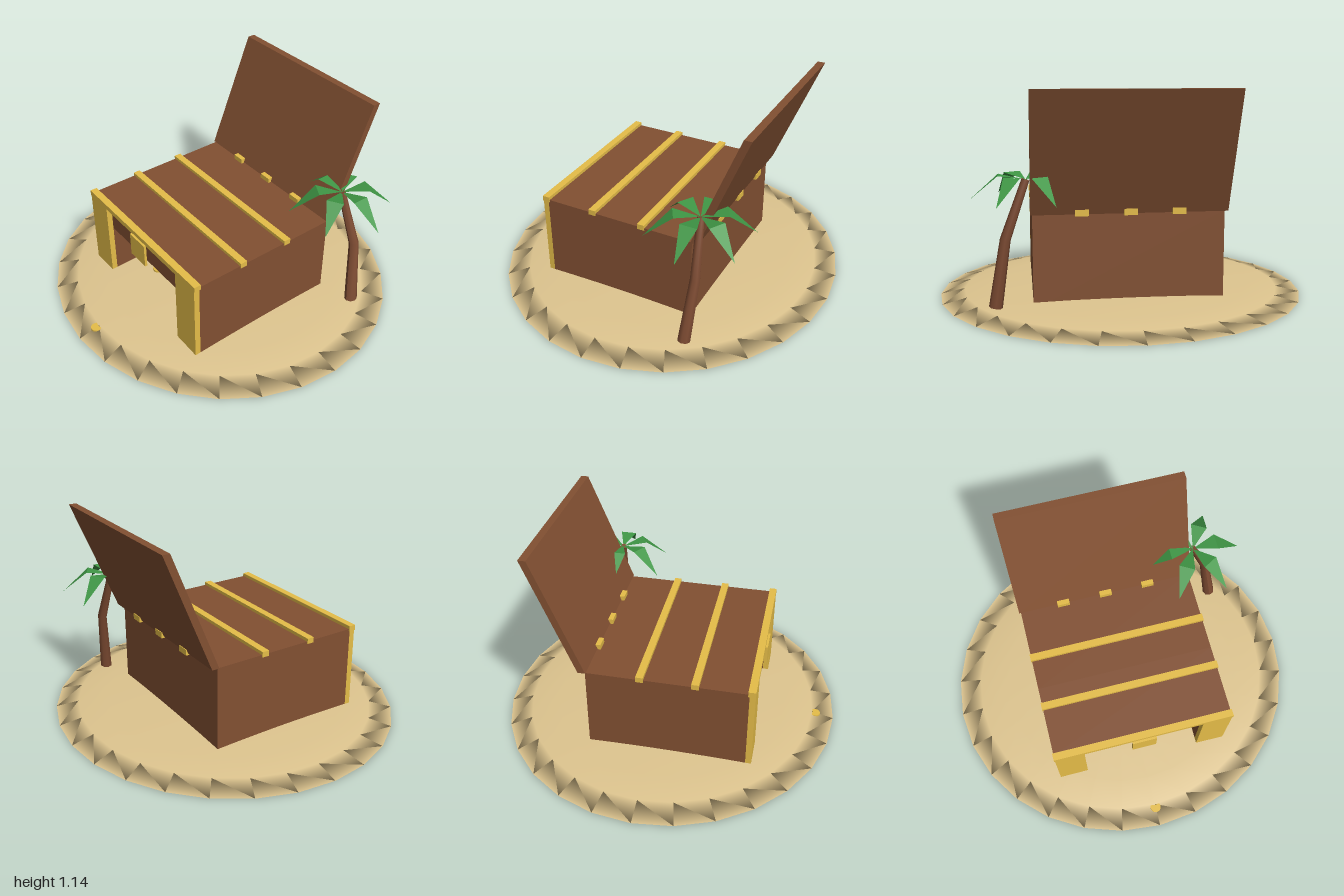
import * as THREE from 'three';

const mat = (name, color, opts = {}) => {
  const m = new THREE.MeshStandardMaterial({ color, ...opts });
  m.name = name;
  return m;
};

export function createModel() {
  const sand = mat('sand', 0xdec58f);
  const wood = mat('wood', 0x825032);
  const gold = mat('gold', 0xe5bd48);
  const bark = mat('bark', 0x7d4b32);
  const leaf = mat('leaf', 0x3f9645, { side: THREE.DoubleSide, flatShading: true });
  const ruby = mat('ruby', 0xc8143c, { flatShading: true });

  const model = new THREE.Group();
  const add = (name, geo, material, parent = model) => {
    const mesh = new THREE.Mesh(geo, material);
    mesh.name = name;
    parent.add(mesh);
    return mesh;
  };
  // box given by its extents on each axis
  const box = (name, material, x0, x1, y0, y1, z0, z1, parent) => {
    const mesh = add(name, new THREE.BoxGeometry(x1 - x0, y1 - y0, z1 - z0), material, parent);
    mesh.position.set((x0 + x1) / 2, (y0 + y1) / 2, (z0 + z1) / 2);
    return mesh;
  };

  // sandy island: shallow mound with a flat underside and a soft rim
  const profile = [[0, 0], [1, 0], [0.87, 0.027], [0.7, 0.036], [0.5, 0.044], [0.25, 0.05], [0, 0.053]]
    .map(([r, y]) => new THREE.Vector2(r, y));
  add('island', new THREE.LatheGeometry(profile, 28), sand).scale.z = 0.945;

  // chest body with an alcove open to the front, sunk into the sand
  const chest = new THREE.Group();
  chest.name = 'chest';
  model.add(chest);
  const base = 0.002;
  box('chestBack', wood, -0.5, 0.5, base, 0.5, -0.36, 0.115, chest);
  box('chestTop', wood, -0.5, 0.5, 0.338, 0.5, 0.115, 0.5, chest);
  box('alcovePanel', gold, -0.335, 0.335, base, 0.338, 0.115, 0.13, chest);
  for (const s of [-1, 1]) {
    const inner = s * 0.335, outer = s * 0.5;
    const a = Math.min(inner, outer), b = Math.max(inner, outer);
    box('chestSide', wood, a, b, base, 0.338, 0.115, 0.5, chest);
    box('frontPost', gold, a, b, base, 0.49, 0.5, 0.532, chest);
  }

  // straps, lock plate and hinges
  for (const z of [-0.07, 0.222, 0.513]) {
    box('strap', gold, -0.505, 0.505, 0.488, 0.518, z - 0.02, z + 0.02, chest);
  }
  box('lockPlate', gold, -0.068, 0.068, 0.355, 0.492, 0.531, 0.545, chest);
  for (const x of [-0.25, 0, 0.25]) {
    box('hinge', gold, x - 0.035, x + 0.035, 0.495, 0.528, -0.41, -0.337, chest);
  }

  // open lid: slanted board with level top and bottom edges
  const lidShape = new THREE.Shape([[0.355, 0.503], [0.396, 0.503], [0.653, 1.14], [0.612, 1.14]]
    .map(([back, y]) => new THREE.Vector2(back, y)));
  const lid = add('lid', new THREE.ExtrudeGeometry(lidShape, { depth: 1.02, bevelEnabled: false }), wood, chest);
  lid.rotation.y = Math.PI / 2;
  lid.position.x = -0.51;

  // gems in the alcove
  const gemProfile = [[0, -0.042], [0.023, -0.042], [0.03, 0.018], [0, 0.05]]
    .map(([r, y]) => new THREE.Vector2(r, y));
  const gemGeo = new THREE.LatheGeometry(gemProfile, 6);
  [[-0.23, 0.2], [-0.075, 0.03], [0.085, -0.04], [0.245, -0.2]].forEach(([x, tilt], i) => {
    const gem = add('gem', gemGeo, ruby);
    gem.position.set(x, 0.12, 0.215);
    gem.rotation.set(0.1, i * 0.4, tilt);
  });

  // scattered coins
  const coinGeo = new THREE.CylinderGeometry(0.03, 0.03, 0.011, 12);
  const coins = [[-0.19, 0.06, 0.21], [-0.16, 0.056, 0.325], [-0.04, 0.056, 0.305], [0.09, 0.056, 0.23],
    [0.125, 0.06, 0.31], [0.175, 0.074, 0.22], [0.25, 0.066, 0.28], [0, 0.0205, 0.84]];
  for (const p of coins) add('coin', coinGeo, gold).position.set(...p);

  // bent, tapering palm trunk
  const palm = new THREE.Group();
  palm.name = 'palm';
  model.add(palm);
  const rings = [[0.69, 0.04, -0.415, 0.035], [0.635, 0.395, -0.445, 0.027], [0.53, 0.69, -0.42, 0.02]];
  const trunk = new THREE.CylinderGeometry(1, 1, 2, 8, 2);
  const pos = trunk.attributes.position;
  const lean = [0.15, 0.25, 0.34];
  for (let i = 0; i < pos.count; i++) {
    const k = Math.round(pos.getY(i) + 1);
    const [cx, cy, cz, r] = rings[k];
    const dx = pos.getX(i) * r;
    pos.setXYZ(i, cx + dx * Math.cos(lean[k]), cy + dx * Math.sin(lean[k]), cz + pos.getZ(i) * r);
  }
  trunk.computeVertexNormals();
  add('trunk', trunk, bark, palm);

  // six fronds, each rising to its widest point and then drooping to a tip
  const frondGeo = new THREE.BufferGeometry();
  frondGeo.setAttribute('position', new THREE.Float32BufferAttribute([
    0, 0, 0, 0.135, 0.025, 0.046, 0.135, 0.025, -0.046, 0.28, -0.1, 0], 3));
  frondGeo.setIndex([0, 1, 2, 1, 3, 2]);
  frondGeo.computeVertexNormals();
  for (let i = 0; i < 6; i++) {
    const frond = add('frond', frondGeo, leaf, palm);
    frond.position.set(0.53, 0.69, -0.42);
    frond.rotation.y = i * Math.PI / 3;
  }

  return model;
}
